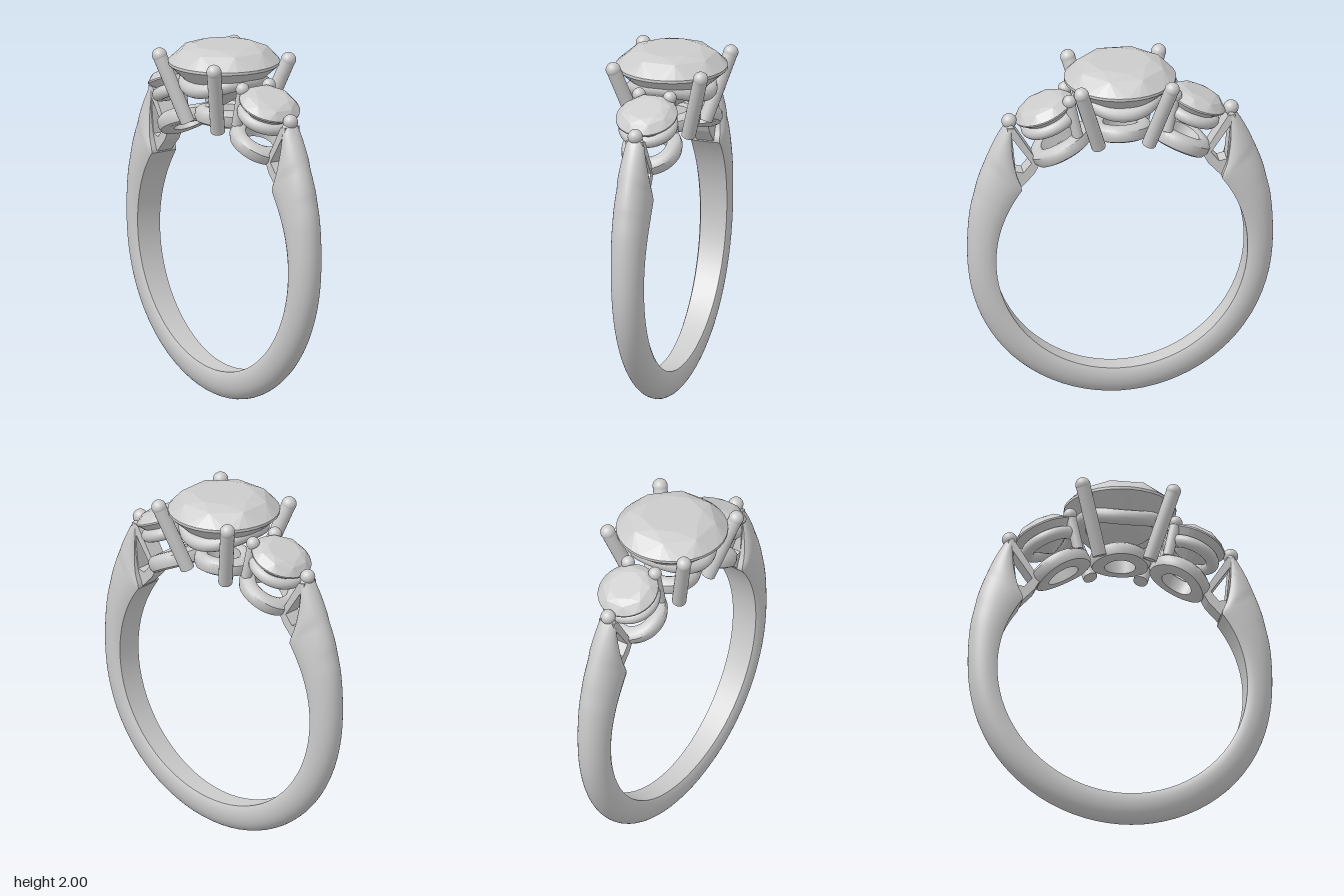
import * as THREE from 'three';
import { toCreasedNormals } from 'three/addons/utils/BufferGeometryUtils.js';
import { ConvexGeometry } from 'three/addons/geometries/ConvexGeometry.js';

const CY = 0.86; // height of the finger hole's centre
const INNER = 0.70; // finger hole radius
const V = (x, y, z) => new THREE.Vector3(x, y, z);
const metal = new THREE.MeshStandardMaterial({ color: 0xcccccc });
const gem = new THREE.MeshStandardMaterial({ color: 0xcccccc, flatShading: true });

function add(parent, name, geometry, material = metal) {
  const mesh = new THREE.Mesh(geometry, material);
  mesh.name = name;
  parent.add(mesh);
  return mesh;
}

// D-shaped band swept round the finger, thickening then tapering to two tips
function shankGeometry() {
  // degrees from the bottom, inner radius, outer radius, half width
  const half = [
    [0, 0.70, 0.86, 0.07], [45, 0.70, 0.855, 0.08], [90, 0.70, 0.85, 0.09],
    [112, 0.70, 0.892, 0.098], [120, 0.70, 0.92, 0.1], [127, 0.70, 0.948, 0.098],
    [131.5, 0.786, 0.97, 0.09], [140.5, 0.959, 1.02, 0.055], [143, 0.985, 1.03, 0.04],
  ];
  const keys = [...half.slice(1).reverse().map(([a, ...r]) => [-a, ...r]), ...half];
  const sizes = new THREE.CatmullRomCurve3(keys.map(k => V(k[1], k[2], k[3])), false, 'catmullrom');
  const angles = new THREE.CatmullRomCurve3(keys.map(k => V(k[0], 0, 0)), false, 'catmullrom');
  const section = [[0, 0.85], [0.12, 0.96]];
  for (let k = 0; k <= 20; k++) {
    const a = Math.PI * k / 20;
    section.push([0.3 + 0.7 * Math.sin(a), Math.cos(a)]);
  }
  section.push([0.12, -0.96], [0, -0.85]);

  const steps = 160, n = section.length, pos = [], index = [];
  for (let i = 0; i <= steps; i++) {
    const s = sizes.getPoint(i / steps);
    const phi = THREE.MathUtils.degToRad(angles.getPoint(i / steps).x);
    const ri = Math.max(INNER, s.x);
    for (const [u, v] of section) {
      const r = ri + (s.y - ri) * u;
      pos.push(r * Math.sin(phi), CY - r * Math.cos(phi), s.z * v);
    }
    if (i === steps) break;
    for (let j = 0; j < n; j++) {
      const a = i * n + j, c = i * n + (j + 1) % n;
      index.push(a, c, a + n, a + n, c, c + n);
    }
  }
  const g = new THREE.BufferGeometry();
  g.setAttribute('position', new THREE.Float32BufferAttribute(pos, 3));
  g.setIndex(index);
  return toCreasedNormals(g, 0.6);
}

// Round brilliant cut, girdle at y = 0
function stoneGeometry(R) {
  const points = [V(0, -0.8 * R, 0)];
  const ring = (count, r, y, turn = 0) => {
    for (let i = 0; i < count; i++) {
      const a = (i + turn) / count * Math.PI * 2;
      points.push(V(r * R * Math.cos(a), y * R, r * R * Math.sin(a)));
    }
  };
  ring(8, 0.55, 0.32);        // table
  ring(8, 0.79, 0.245, 0.5);  // crown
  ring(32, 1, 0.02);          // girdle
  ring(32, 1, -0.03);
  ring(8, 0.48, -0.51, 0.5);  // pavilion
  return new ConvexGeometry(points);
}

// Washer with a rounded rim, bent to follow the finger hole
function washerGeometry(offset, radius, hole) {
  const profile = [[hole, 0], [radius - 0.025, 0], [radius - 0.007, 0.012], [radius, 0.04],
    [radius - 0.008, 0.075], [radius - 0.03, 0.092], [hole + 0.015, 0.092], [hole, 0.08], [hole, 0]];
  const g = new THREE.LatheGeometry(profile.map(p => new THREE.Vector2(...p)), 48);
  const p = g.attributes.position;
  for (let i = 0; i < p.count; i++) {
    const a = (p.getX(i) + offset) / INNER, r = INNER + p.getY(i);
    p.setXYZ(i, r * Math.sin(a), CY + r * Math.cos(a), p.getZ(i));
  }
  return toCreasedNormals(g, 0.7);
}

// Straight round prong with a ball tip
function addProng(parent, name, from, to, radius, tip) {
  const prong = new THREE.Group();
  prong.name = name;
  parent.add(prong);
  const dir = to.clone().sub(from);
  const rod = add(prong, name + 'Rod', new THREE.CylinderGeometry(radius, radius, dir.length(), 20));
  rod.position.copy(from).addScaledVector(dir, 0.5);
  rod.quaternion.setFromUnitVectors(V(0, 1, 0), dir.normalize());
  add(prong, name + 'Tip', new THREE.SphereGeometry(tip, 20, 14)).position.copy(to);
}

// Pierced bracket between the shank tip and the side setting
function bracketGeometry() {
  const points = list => list.map(p => new THREE.Vector2(...p));
  const shape = new THREE.Shape(points([[0.555, 1.29], [0.62, 1.4], [0.635, 1.65], [0.595, 1.645],
    [0.455, 1.42], [0.485, 1.365]]));
  shape.holes.push(new THREE.Path(points([[0.588, 1.385], [0.545, 1.375], [0.5, 1.43], [0.607, 1.585]])));
  const g = new THREE.ExtrudeGeometry(shape, { depth: 0.1, bevelEnabled: false });
  return g.translate(0, 0, -0.05);
}

export function createModel() {
  const model = new THREE.Group();
  model.name = 'threeStoneRing';
  add(model, 'shank', shankGeometry());

  // Centre setting
  const centre = new THREE.Group();
  centre.name = 'centreSetting';
  model.add(centre);
  add(centre, 'centreStone', stoneGeometry(0.31), gem).position.y = 1.9;
  add(centre, 'centreBaseRing', washerGeometry(0, 0.16, 0.085));
  const saddle = [];
  for (let i = 0; i < 24; i++) {
    const a = i / 24 * Math.PI * 2;
    saddle.push(V(0.21 * Math.cos(a), 1.765 + 0.06 * Math.cos(a) ** 2, 0.21 * Math.sin(a)));
  }
  add(centre, 'centreGallery',
    new THREE.TubeGeometry(new THREE.CatmullRomCurve3(saddle, true), 72, 0.042, 14, true));
  for (const sx of [-1, 1]) for (const sz of [-1, 1]) {
    addProng(centre, 'centreProng', V(sx * 0.14, 1.55, sz * 0.145), V(sx * 0.253, 1.922, sz * 0.255), 0.04, 0.042);
  }

  // Side settings, one turned half round to make the other
  for (const left of [true, false]) {
    const side = new THREE.Group();
    side.name = left ? 'leftSetting' : 'rightSetting';
    side.rotation.y = left ? 0 : Math.PI;
    model.add(side);

    const head = new THREE.Group();
    head.name = 'sideHead';
    head.position.set(0.425, 1.735, 0);
    head.rotation.z = -0.4;
    side.add(head);
    add(head, 'sideStone', stoneGeometry(0.172), gem);
    const gallery = add(head, 'sideGallery', new THREE.TorusGeometry(0.13, 0.036, 14, 48));
    gallery.rotation.x = Math.PI / 2;
    gallery.position.y = -0.075;

    add(side, 'sideBaseRing', washerGeometry(0.33, 0.17, 0.09));
    add(side, 'bracket', bracketGeometry());
    add(side, 'outerProngTip', new THREE.SphereGeometry(0.042, 20, 14)).position.set(0.618, 1.675, 0);
    for (const sz of [-1, 1]) {
      addProng(side, 'innerProng', V(0.25, 1.6, sz * 0.095), V(0.295, 1.81, sz * 0.09), 0.03, 0.038);
    }
  }
  return model;
}
